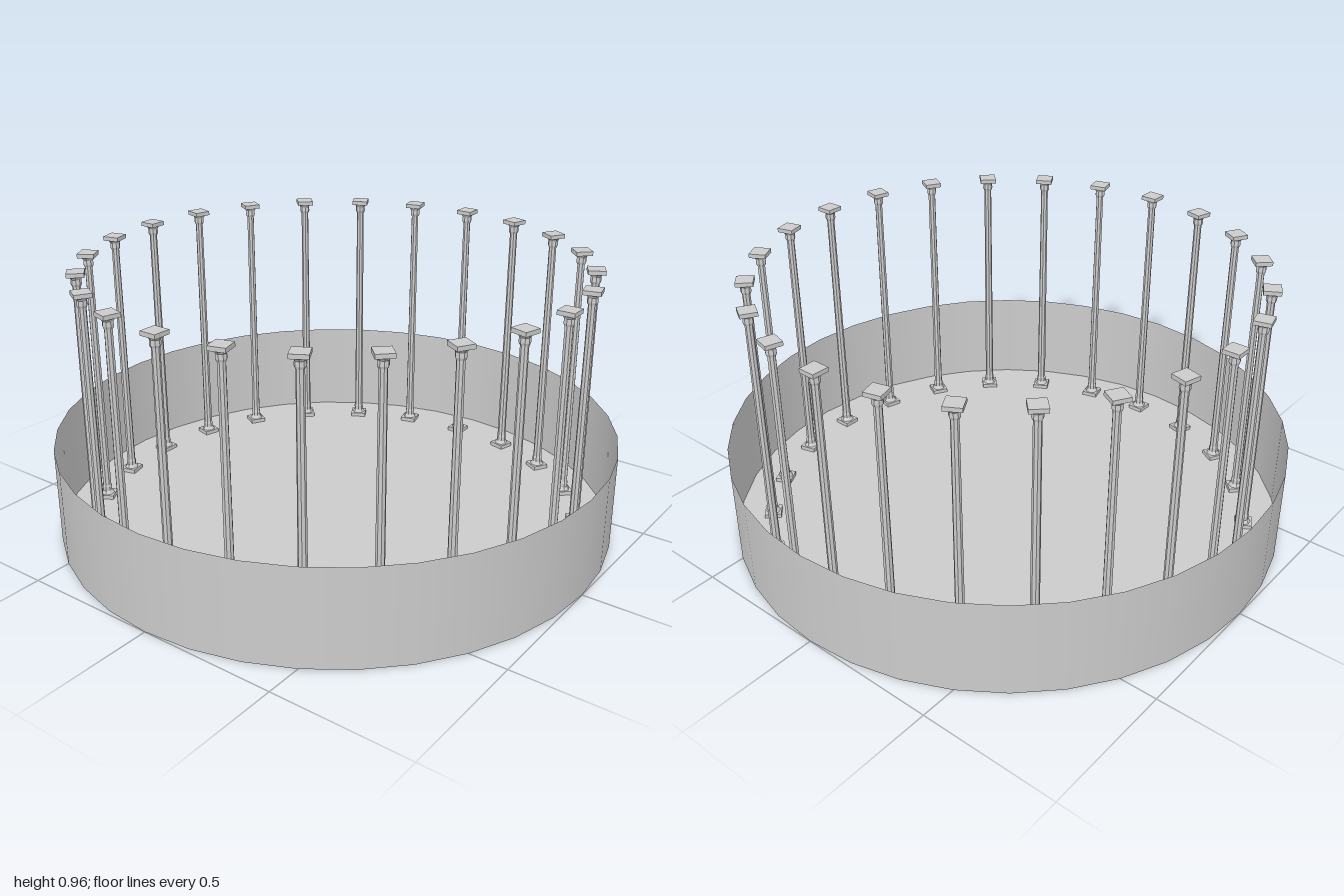
import * as THREE from 'three';

const COUNT = 24, RING = 0.877, WALL = 0.35, HEIGHT = 0.96, PLATE = 0.015;

const smooth = new THREE.MeshStandardMaterial({ color: 0xcccccc, side: THREE.DoubleSide });
const faceted = new THREE.MeshStandardMaterial({ color: 0xcccccc, flatShading: true });

function part(name, geometry, material, y) {
  const mesh = new THREE.Mesh(geometry, material);
  mesh.name = name;
  mesh.position.y = y;
  return mesh;
}

// Shared column geometries
const plateGeo = new THREE.BoxGeometry(0.06, PLATE, 0.06);
const flareGeo = new THREE.LatheGeometry([
  new THREE.Vector2(0.0155, 0),
  new THREE.Vector2(0.0185, 0.008),
  new THREE.Vector2(0.0175, 0.024),
  new THREE.Vector2(0.026, 0.036),
], 8);
const shaftGeo = new THREE.CylinderGeometry(0.0135, 0.016, HEIGHT - 2 * PLATE, 8, 1, true);

function makeColumn() {
  const column = new THREE.Group();
  column.name = 'column';
  column.add(part('basePlate', plateGeo, faceted, PLATE / 2));
  column.add(part('shaft', shaftGeo, faceted, HEIGHT / 2));
  column.add(part('capPlate', plateGeo, faceted, HEIGHT - PLATE / 2));

  // Flared mouldings under the cap and, turned over, above the base
  column.add(part('capital', flareGeo, faceted, HEIGHT - PLATE - 0.036));
  const foot = part('footMoulding', flareGeo, faceted, PLATE + 0.036);
  foot.rotation.x = Math.PI;
  column.add(foot);
  return column;
}

export function createModel() {
  const model = new THREE.Group();
  model.name = 'colonnade';

  // Thin round wall and the floor disc it stands around
  model.add(part('wall', new THREE.CylinderGeometry(1, 1, WALL, 36, 1, true), smooth, WALL / 2));
  const floorGeo = new THREE.CircleGeometry(1, 36).rotateX(-Math.PI / 2);
  floorGeo.rotateY(Math.PI / 2);
  model.add(part('floor', floorGeo, smooth, 0));

  // Ring of columns, each facing outwards
  for (let i = 0; i < COUNT; i++) {
    const angle = (i / COUNT) * Math.PI * 2;
    const column = makeColumn();
    column.position.set(Math.sin(angle) * RING, 0, Math.cos(angle) * RING);
    column.rotation.y = angle;
    model.add(column);
  }
  return model;
}
